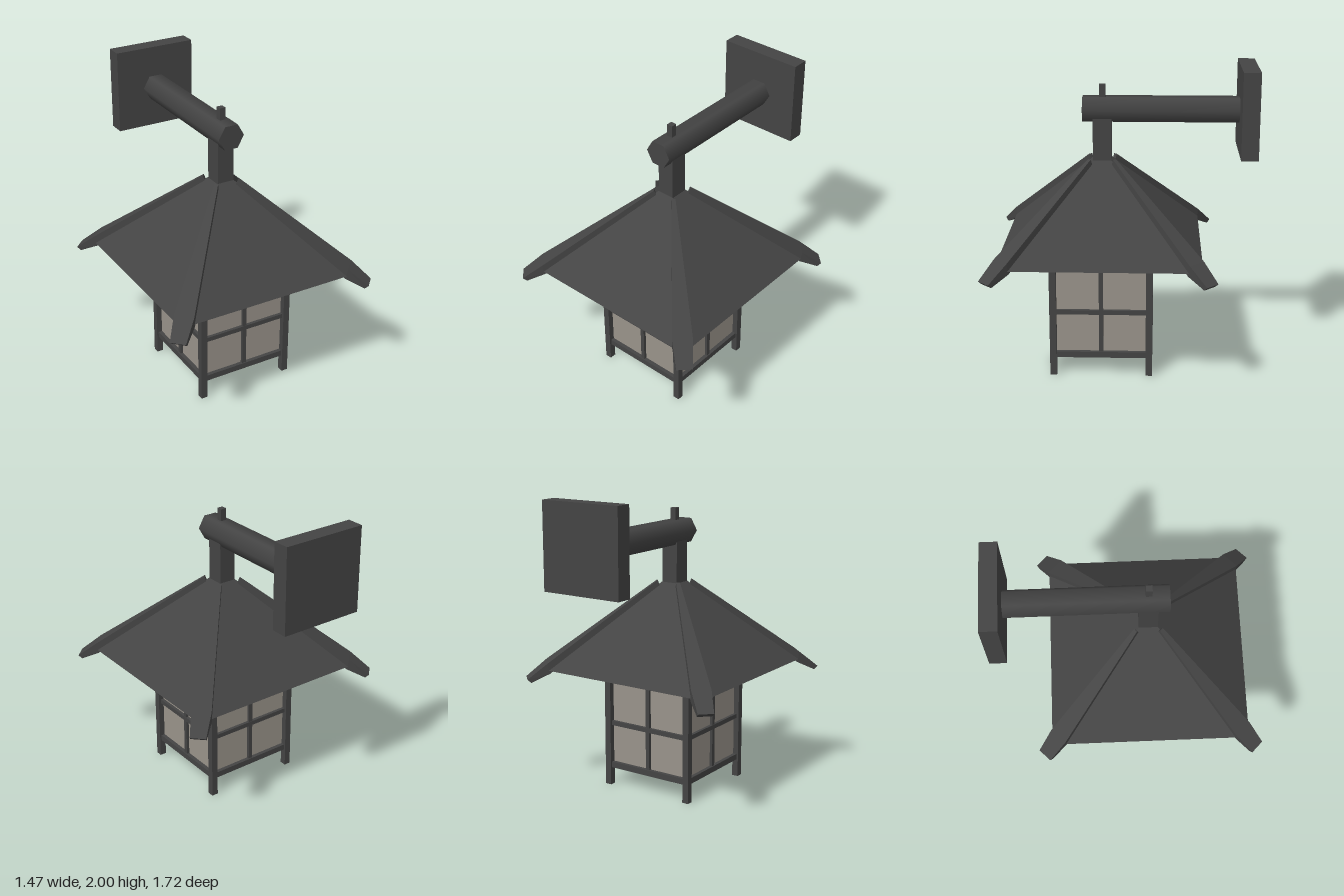
import * as THREE from 'three';
import { toCreasedNormals } from 'three/addons/utils/BufferGeometryUtils.js';

export function createModel() {
  const metal = new THREE.MeshStandardMaterial({ color: 0x444444, side: THREE.DoubleSide });
  metal.name = 'dark metal';
  const glass = new THREE.MeshStandardMaterial({ color: 0x99938a });
  glass.name = 'frosted glass';

  const model = new THREE.Group();
  model.name = 'wallLantern';

  const add = (parent, name, geometry, material = metal) => {
    const mesh = new THREE.Mesh(geometry, material);
    mesh.name = name;
    parent.add(mesh);
    return mesh;
  };
  // Box given by its limits on each axis
  const box = (parent, name, [x0, x1], [y0, y1], [z0, z1], material) => {
    const mesh = add(parent, name, new THREE.BoxGeometry(x1 - x0, y1 - y0, z1 - z0), material);
    mesh.position.set((x0 + x1) / 2, (y0 + y1) / 2, (z0 + z1) / 2);
    return mesh;
  };

  // Wall plate and six-sided arm
  box(model, 'wallPlate', [-0.28, 0.28], [1.445, 2], [-0.865, -0.755]);
  const arm = add(model, 'arm', new THREE.CylinderGeometry(0.09, 0.09, 1.01, 6, 1, false, Math.PI / 2));
  arm.rotation.x = Math.PI / 2;
  arm.position.set(0, 1.718, -0.255);

  // Everything hanging from the arm shares one vertical axis
  const lantern = new THREE.Group();
  lantern.name = 'lantern';
  lantern.position.z = 0.123;
  model.add(lantern);

  box(lantern, 'pin', [-0.02, 0.02], [1.76, 1.875], [-0.02, 0.02]);
  box(lantern, 'stem', [-0.057, 0.057], [1.37, 1.7], [-0.06, 0.06]);

  // Hollow four-sided roof
  const roofGeo = new THREE.CylinderGeometry(0.06 * Math.SQRT2, 0.645 * Math.SQRT2, 0.557, 4, 1, true);
  roofGeo.rotateY(Math.PI / 4);
  const roof = add(lantern, 'roof', toCreasedNormals(roofGeo, 0.3));
  roof.position.y = 0.83 + 0.557 / 2;

  // Hip beams: tapered, bent down at the eaves; sections of
  // [distance top, y top, distance bottom, y bottom, half width]
  const sections = [
    [0.115, 1.4, 0.1, 1.36, 0.013],
    [0.855, 0.88, 0.84, 0.81, 0.063],
    [0.99, 0.772, 0.965, 0.75, 0.05],
  ];
  const points = sections.flatMap(([dt, yt, db, yb, w]) => [dt, yt, w, dt, yt, -w, db, yb, -w, db, yb, w]);
  const faces = [0, 1, 2, 0, 2, 3];
  for (let s = 0; s < sections.length - 1; s++) {
    for (let k = 0; k < 4; k++) {
      const a = s * 4 + k, b = s * 4 + (k + 1) % 4;
      faces.push(a, a + 4, b, b, a + 4, b + 4);
    }
  }
  const e = (sections.length - 1) * 4;
  faces.push(e, e + 2, e + 1, e, e + 3, e + 2);
  const beamBase = new THREE.BufferGeometry();
  beamBase.setAttribute('position', new THREE.Float32BufferAttribute(points, 3));
  beamBase.setIndex(faces);
  const beamGeo = beamBase.toNonIndexed();
  beamGeo.computeVertexNormals();
  for (let i = 0; i < 4; i++) {
    add(lantern, 'hipBeam', beamGeo).rotation.y = Math.PI / 4 + i * Math.PI / 2;
  }

  // Glass body and cap
  box(lantern, 'glassBody', [-0.297, 0.297], [0.145, 0.75], [-0.297, 0.297], glass);
  box(lantern, 'cap', [-0.29, 0.29], [0.74, 0.9], [-0.29, 0.29]);

  // One framed side, repeated round the body
  for (let i = 0; i < 4; i++) {
    const side = new THREE.Group();
    side.name = 'framedSide';
    side.rotation.y = i * Math.PI / 2;
    lantern.add(side);
    box(side, 'post', [0.291, 0.335], [0, 0.815], [0.291, 0.335]);
    box(side, 'topRail', [-0.3, 0.3], [0.715, 0.81], [0.28, 0.323]);
    box(side, 'bottomRail', [-0.3, 0.3], [0.12, 0.16], [0.28, 0.323]);
    box(side, 'crossBar', [-0.3, 0.3], [0.42, 0.45], [0.285, 0.318]);
    box(side, 'uprightBar', [-0.014, 0.014], [0.15, 0.72], [0.285, 0.316]);
  }
  return model;
}
